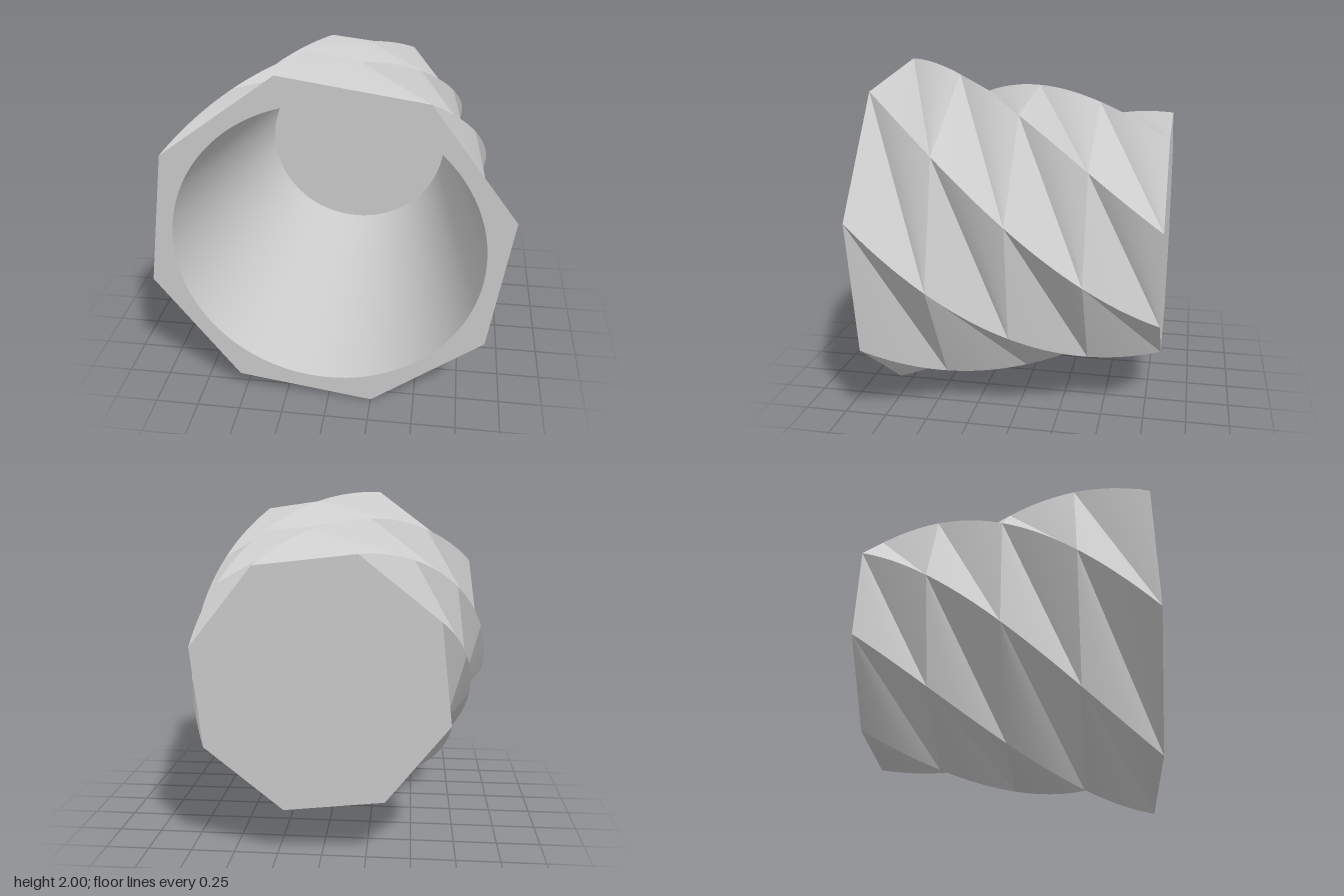
import * as THREE from 'three';
import { toCreasedNormals } from 'three/addons/utils/BufferGeometryUtils.js';

const SIDES = 8, LEVELS = 4, STEPS = 12;
const FRONT_Z = 0.83, BACK_Z = -0.83, FLOOR_Z = -0.655;
const FRONT_R = 1.028, BACK_R = 0.732;
const START = THREE.MathUtils.degToRad(14.2), TWIST = THREE.MathUtils.degToRad(-88.2);
const RIM_R = 0.857, FLOOR_R = 0.593;

// Point on ridge k of the tapering helix, t = 0 at the front and 1 at the back
function ridge(k, t) {
  const a = START + (k * 2 * Math.PI) / SIDES + TWIST * t;
  const r = THREE.MathUtils.lerp(FRONT_R, BACK_R, t);
  return new THREE.Vector3(r * Math.cos(a), r * Math.sin(a), THREE.MathUtils.lerp(FRONT_Z, BACK_Z, t));
}

// Folded skin: on each level, two fans spread from a curved ridge to its neighbouring corners
function twistedSkin() {
  const points = [];
  for (let level = 0; level < LEVELS; level++) {
    const t0 = level / LEVELS, t1 = (level + 1) / LEVELS;
    for (let k = 0; k < SIDES; k++) {
      const lower = ridge(k - 1, t1), upper = ridge(k + 1, t0);
      for (let i = 0; i < STEPS; i++) {
        const p = ridge(k, THREE.MathUtils.lerp(t0, t1, i / STEPS));
        const q = ridge(k, THREE.MathUtils.lerp(t0, t1, (i + 1) / STEPS));
        points.push(lower, q, p, upper, p, q);
      }
    }
  }
  const geometry = new THREE.BufferGeometry().setFromPoints(points);
  return toCreasedNormals(geometry, 0.12);
}

// Flat octagonal rim around the round opening
function rimGeometry() {
  const corners = [];
  for (let k = 0; k < SIDES; k++) {
    const p = ridge(k, 0);
    corners.push(new THREE.Vector2(p.x, p.y));
  }
  const shape = new THREE.Shape(corners);
  shape.holes.push(new THREE.Path().absarc(0, 0, RIM_R, 0, Math.PI * 2, true));
  return new THREE.ShapeGeometry(shape, 48).translate(0, 0, FRONT_Z);
}

export function createModel() {
  const group = new THREE.Group();
  group.name = 'twistedPot';
  const material = new THREE.MeshStandardMaterial({ color: 0xcccccc });
  const body = new THREE.Group();
  body.name = 'body';
  body.position.y = 1;
  group.add(body);

  const add = (name, geometry) => {
    const mesh = new THREE.Mesh(geometry, material);
    mesh.name = name;
    body.add(mesh);
  };

  add('outerWall', twistedSkin());
  add('rim', rimGeometry());

  // Smooth tapered cavity, profile running inward so it faces the axis
  const profile = [new THREE.Vector2(RIM_R, FRONT_Z), new THREE.Vector2(FLOOR_R, FLOOR_Z)];
  add('innerWall', new THREE.LatheGeometry(profile, 96).rotateX(Math.PI / 2));
  add('innerFloor', new THREE.CircleGeometry(FLOOR_R, 96).translate(0, 0, FLOOR_Z));

  // Octagonal base turned to face the back
  const base = new THREE.CircleGeometry(BACK_R, SIDES, Math.PI - START - TWIST);
  add('base', base.rotateY(Math.PI).translate(0, 0, BACK_Z));

  return group;
}
